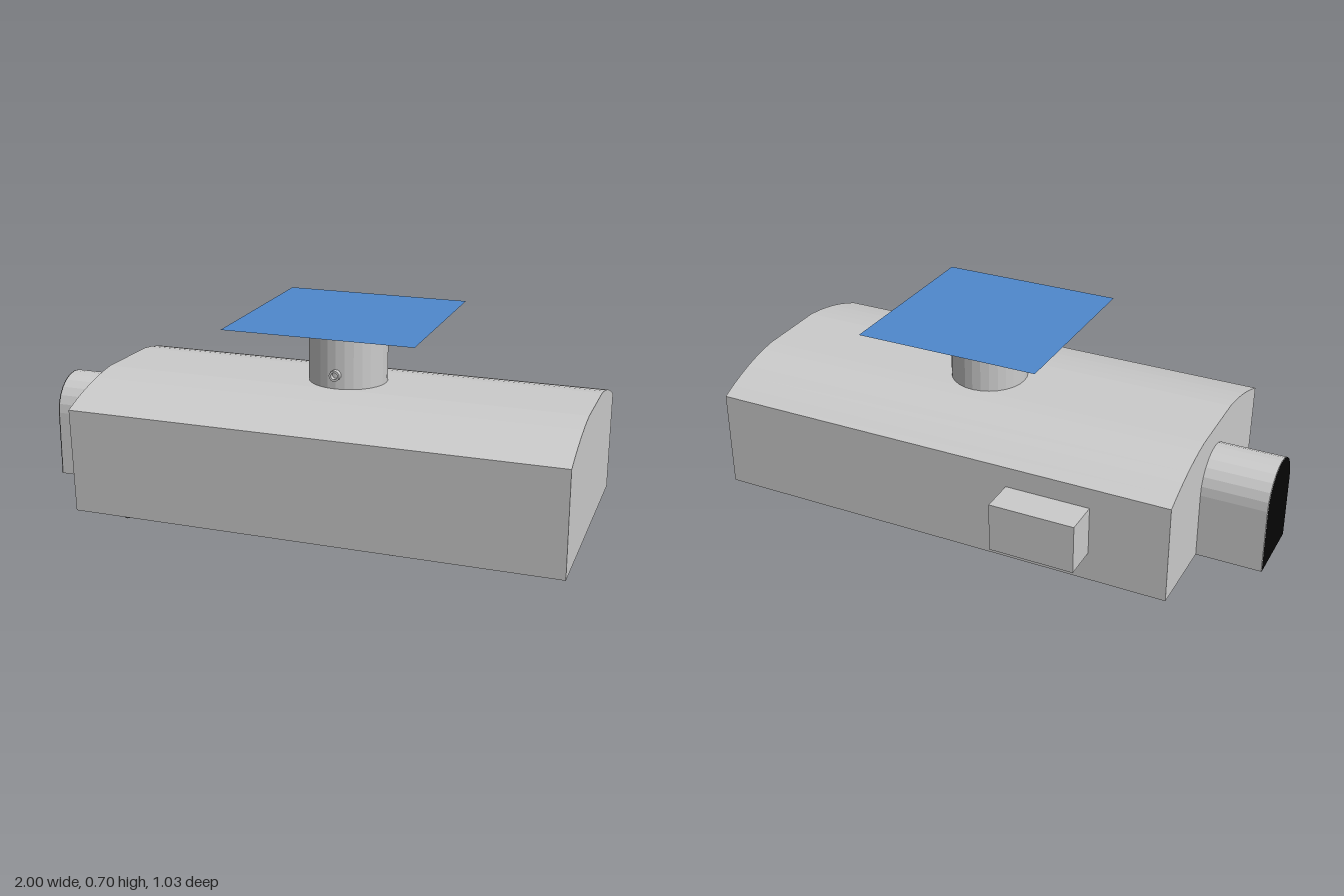
import * as THREE from 'three';
import { mergeGeometries } from 'three/addons/utils/BufferGeometryUtils.js';

const paint = (color = 0xcccccc) =>
  new THREE.MeshStandardMaterial({ color, flatShading: true, side: THREE.DoubleSide });

const FLOOR = 0.007;

// Side profile given as [z, y] points
const profile = (points) =>
  new THREE.Shape(points.map(([z, y]) => new THREE.Vector2(-z, y)));

// Sampled curve between two [z, y] points, pulled towards a third
const curve = (from, pull, to) =>
  new THREE.QuadraticBezierCurve(...[from, pull, to].map((q) => new THREE.Vector2(...q)))
    .getPoints(6).map((v) => [v.x, v.y]);

// Run a side profile along x from x0 to x1
function along(shape, x0, x1) {
  return new THREE.ExtrudeGeometry(shape, { depth: x1 - x0, bevelEnabled: false })
    .rotateY(Math.PI / 2).translate(x0, 0, 0);
}

// Small repeatable random numbers
function seeded(seed) {
  return () => (seed = (seed * 16807) % 2147483647) / 2147483647;
}

export function createModel() {
  const model = new THREE.Group();
  const grey = paint();
  const add = (name, geometry, material = grey, x = 0, y = 0, z = 0) => {
    const mesh = new THREE.Mesh(geometry, material);
    mesh.name = name;
    mesh.position.set(x, y, z);
    model.add(mesh);
    return mesh;
  };

  // Main hall with a shallow vaulted roof
  const hall = profile([
    [0.498, FLOOR],
    ...curve([0.514, 0.39], [0.357, 0.4535], [0.2, 0.467]),
    ...curve([-0.08, 0.462], [-0.232, 0.4455], [-0.384, 0.371]),
    [-0.384, FLOOR],
  ]);
  add('body', along(hall, -0.76, 1));

  // Arched entrance tunnel with a dark opening
  const arch = [[0.182, FLOOR]];
  for (let i = 0; i <= 12; i++) {
    const a = (i / 12) * Math.PI;
    arch.push([0.0515 + 0.1305 * Math.cos(a), 0.252 + 0.1305 * Math.sin(a)]);
  }
  arch.push([-0.079, FLOOR]);
  add('entranceTunnel', along(profile(arch), -0.998, -0.755));
  add('tunnelOpening', new THREE.ShapeGeometry(profile(arch)).rotateY(Math.PI / 2),
    paint(0x050505), -1);

  // Box on the back wall with red lamps beneath
  add('wallBox', new THREE.BoxGeometry(0.312, 0.18, 0.13), grey, -0.319, 0.205, -0.447);
  const red = paint(0x8a1f1f);
  for (let i = 0; i < 4; i++) {
    const x = -0.444 + i * 0.083;
    add('lampHousing', new THREE.BoxGeometry(0.042, 0.008, 0.05), grey, x, 0.114, -0.448);
    add('redLamp', new THREE.PlaneGeometry(0.042, 0.05).rotateX(Math.PI / 2), red,
      x, 0.1095, -0.448);
  }

  // Chimney with a slightly sloping top
  const chimney = new THREE.CylinderGeometry(0.141, 0.141, 0.22, 28);
  const p = chimney.attributes.position;
  for (let i = 0; i < p.count; i++) {
    if (p.getY(i) > 0) p.setY(i, p.getY(i) + p.getZ(i) * 0.02);
  }
  add('chimney', chimney, grey, 0.12, 0.548, 0.058);

  // Hollow peg on the chimney
  const ring = [[0.012, 0], [0.0195, 0], [0.0195, 0.03], [0.012, 0.03], [0.012, 0]];
  add('chimneyPeg', new THREE.LatheGeometry(ring.map(([r, h]) => new THREE.Vector2(r, h)), 16)
    .rotateX(Math.PI / 2), grey, 0.12, 0.518, 0.187);

  // Thin blue panel held above the chimney
  add('topPanel', new THREE.PlaneGeometry(0.682, 0.686).rotateX(-Math.PI / 2),
    paint(0x4f88cc), 0.116, 0.698, 0.053);

  // Round plate under the floor
  add('floorPlate', new THREE.CylinderGeometry(0.17, 0.17, 0.005, 32), grey, 0.115, 0.0055, 0.058);

  // Dark spots scattered over the underside, larger and denser towards one end
  const random = seeded(71);
  const spots = [];
  while (spots.length < 380) {
    const x = -0.74 + 1.7 * random();
    const z = -0.36 + 0.84 * random();
    const r = (x > 0.35 ? 0.012 : 0.007) + 0.013 * random();
    const squash = 0.4 + 0.6 * random();
    const turn = random() * Math.PI;
    if (Math.hypot(x - 0.115, z - 0.058) < 0.18) continue;
    spots.push(new THREE.CircleGeometry(r, 10).scale(1, squash, 1).rotateZ(turn)
      .rotateX(Math.PI / 2).translate(x, 0, z));
  }
  add('floorSpots', mergeGeometries(spots), paint(0x555555));

  return model;
}
